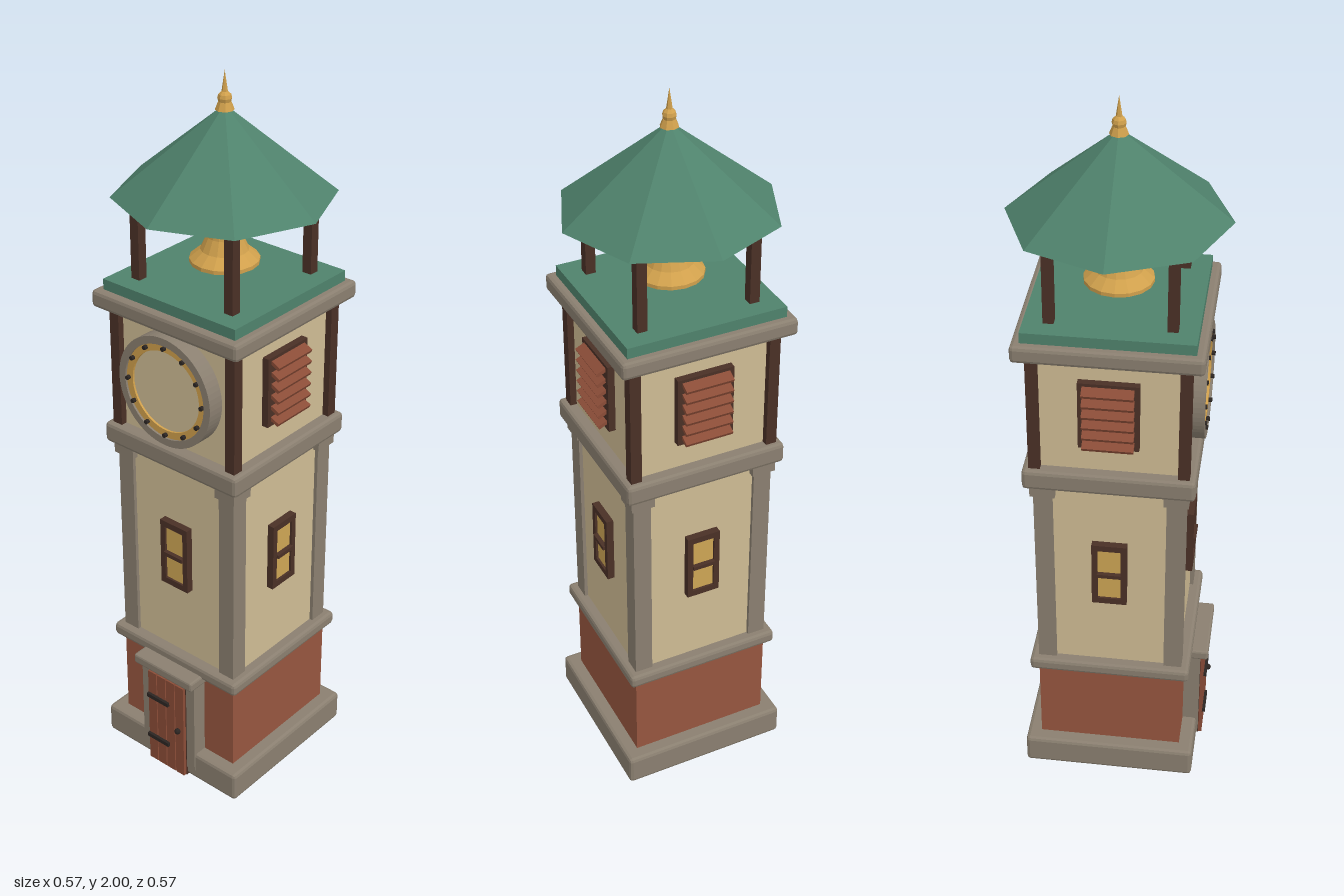
import * as THREE from 'three';
import { RoundedBoxGeometry } from 'three/addons/geometries/RoundedBoxGeometry.js';

const mat = (name, color) => Object.assign(new THREE.MeshStandardMaterial({ color }), { name });

export function createModel() {
  const stone = mat('stone', 0x8a7f70), brick = mat('brick', 0x96563f), plaster = mat('plaster', 0xcfbc94);
  const darkWood = mat('dark wood', 0x4a3026), redWood = mat('red wood', 0x8a4c37);
  const brass = mat('brass', 0xd0a04c), pane = mat('window glow', 0xcda554);
  const green = mat('green copper', 0x4f826c), iron = mat('iron', 0x2b2522);

  const model = new THREE.Group();
  model.name = 'clockTower';

  const add = (parent, name, geometry, material, x = 0, y = 0, z = 0) => {
    const mesh = new THREE.Mesh(geometry, material);
    mesh.name = name;
    mesh.position.set(x, y, z);
    parent.add(mesh);
    return mesh;
  };
  const flat = (g) => {
    const n = g.index ? g.toNonIndexed() : g;
    n.computeVertexNormals();
    return n;
  };
  // Box given by its bottom and top heights
  const box = (parent, name, material, w, y0, y1, d, x = 0, z = 0) =>
    add(parent, name, new THREE.BoxGeometry(w, y1 - y0, d), material, x, (y0 + y1) / 2, z);
  // Square slab with chamfered edges
  const slab = (name, material, w, y0, y1, bevel = 0.01) =>
    add(model, name, flat(new RoundedBoxGeometry(w, y1 - y0, w, 1, bevel)), material, 0, (y0 + y1) / 2, 0);
  const corners = (fn) => { for (const sx of [-1, 1]) for (const sz of [-1, 1]) fn(sx, sz); };
  // Group whose +z side faces one of the four walls
  const wall = (name, quarter) => {
    const g = new THREE.Group();
    g.name = name;
    g.rotation.y = quarter * Math.PI / 2;
    model.add(g);
    return g;
  };

  // Main masses, from the ground up
  slab('plinth', stone, 0.48, 0, 0.088);
  box(model, 'brickBase', brick, 0.4, 0.08, 0.36, 0.4);
  slab('lowerBand', stone, 0.445, 0.35, 0.388);
  box(model, 'shaft', plaster, 0.38, 0.38, 1.0, 0.38);
  slab('middleBand', stone, 0.45, 0.992, 1.05);
  box(model, 'clockRoom', plaster, 0.38, 1.04, 1.4, 0.38);
  slab('cornice', stone, 0.48, 1.39, 1.437);
  box(model, 'belfryFloor', green, 0.434, 1.43, 1.466, 0.434);

  // Corner pilasters, posts and belfry columns
  corners((sx, sz) => {
    box(model, 'pilaster', stone, 0.05, 0.385, 0.96, 0.05, sx * 0.175, sz * 0.175);
    box(model, 'pilasterCapital', stone, 0.066, 0.957, 0.995, 0.066, sx * 0.175, sz * 0.175);
    box(model, 'cornerPost', darkWood, 0.03, 1.045, 1.395, 0.03, sx * 0.193, sz * 0.193);
    box(model, 'belfryColumn', darkWood, 0.027, 1.46, 1.687, 0.027, sx * 0.153, sz * 0.153);
  });

  for (let q = 0; q < 4; q++) {
    const side = wall('wallDetails', q);
    // Window with frame and crossbar
    for (const s of [-1, 1]) {
      box(side, 'windowJamb', darkWood, 0.016, 0.61, 0.81, 0.022, s * 0.039, 0.199);
      box(side, 'windowRail', darkWood, 0.094, s < 0 ? 0.61 : 0.792, s < 0 ? 0.628 : 0.81, 0.022, 0, 0.199);
    }
    box(side, 'windowPane', pane, 0.064, 0.627, 0.793, 0.009, 0, 0.199);
    box(side, 'windowCrossbar', darkWood, 0.064, 0.704, 0.715, 0.02, 0, 0.206);
    // Beam under the roof
    box(side, 'roofBeam', darkWood, 0.33, 1.667, 1.686, 0.022, 0, 0.153);
    // Louvred openings on every side but the front
    if (q === 0) continue;
    box(side, 'louverBack', darkWood, 0.156, 1.13, 1.326, 0.02, 0, 0.199);
    for (let i = 0; i < 6; i++) {
      const y = 1.148 + i * 0.032;
      const slat = box(side, 'louverSlat', redWood, 0.132, y - 0.005, y + 0.005, 0.034, 0, 0.217);
      slat.rotation.x = 0.45;
    }
  }

  // Clock on the front
  const clock = new THREE.Group();
  clock.name = 'clock';
  clock.position.set(0, 1.224, 0.19);
  model.add(clock);
  const ring = (name, material, outer, inner, depth, z) => {
    const shape = new THREE.Shape().absarc(0, 0, outer, 0, Math.PI * 2);
    shape.holes.push(new THREE.Path().absarc(0, 0, inner, 0, Math.PI * 2, true));
    add(clock, name, new THREE.ExtrudeGeometry(shape, { depth, bevelEnabled: false, curveSegments: 32 }), material, 0, 0, z);
  };
  ring('clockSurround', stone, 0.153, 0.132, 0.046, 0);
  ring('clockRing', brass, 0.134, 0.112, 0.04, 0);
  const face = add(clock, 'clockFace', new THREE.CylinderGeometry(0.114, 0.114, 0.034, 32), plaster, 0, 0, 0.017);
  face.rotation.x = Math.PI / 2;
  for (let i = 0; i < 12; i++) {
    const a = i * Math.PI / 6;
    const dot = add(clock, 'hourMark', new THREE.CylinderGeometry(0.006, 0.006, 0.012, 8), iron,
      Math.sin(a) * 0.124, Math.cos(a) * 0.124, 0.044);
    dot.rotation.x = Math.PI / 2;
  }

  // Door with stone surround, planks, hinges and knob
  const door = new THREE.Group();
  door.name = 'door';
  model.add(door);
  for (const s of [-1, 1]) box(door, 'doorJamb', stone, 0.03, 0.03, 0.34, 0.05, s * 0.081, 0.219);
  box(door, 'doorHead', stone, 0.19, 0.315, 0.345, 0.05, 0, 0.219);
  add(door, 'doorLintel', flat(new RoundedBoxGeometry(0.212, 0.03, 0.075, 1, 0.006)), stone, 0, 0.347, 0.23);
  box(door, 'doorBack', darkWood, 0.134, 0, 0.318, 0.046, 0, 0.222);
  for (let i = 0; i < 4; i++) {
    box(door, 'doorPlank', redWood, 0.03, 0.002, 0.316, 0.018, -0.05 + i * 0.0333, 0.246);
  }
  for (const y of [0.09, 0.235]) box(door, 'doorHinge', iron, 0.078, y - 0.006, y + 0.006, 0.01, -0.026, 0.258);
  add(door, 'doorKnob', new THREE.SphereGeometry(0.009, 8, 6), iron, 0.047, 0.16, 0.26);

  // Bell and clapper
  const profile = [[0, 1.638], [0.046, 1.638], [0.046, 1.618], [0.04, 1.612], [0.046, 1.575],
    [0.062, 1.54], [0.09, 1.516], [0.09, 1.506], [0.078, 1.506], [0.05, 1.54], [0.034, 1.59], [0, 1.605]];
  const bellPoints = profile.map(([r, y]) => new THREE.Vector2(r, y)).reverse();
  add(model, 'bell', flat(new THREE.LatheGeometry(bellPoints, 16)), brass);
  add(model, 'clapperRod', new THREE.CylinderGeometry(0.004, 0.004, 0.11, 6), iron, 0, 1.55, 0);
  add(model, 'clapper', new THREE.SphereGeometry(0.014, 10, 8), iron, 0, 1.49, 0);

  // Eight-sided roof
  add(model, 'roof', flat(new THREE.ConeGeometry(0.283, 0.23, 8)), green, 0, 1.8, 0);

  // Finial
  add(model, 'finialCollar', flat(new THREE.CylinderGeometry(0.016, 0.024, 0.02, 8)), brass, 0, 1.912, 0);
  add(model, 'finialBall', flat(new THREE.SphereGeometry(0.018, 8, 6)), brass, 0, 1.931, 0);
  add(model, 'finialSpike', flat(new THREE.ConeGeometry(0.009, 0.06, 6)), brass, 0, 1.97, 0);
  return model;
}
